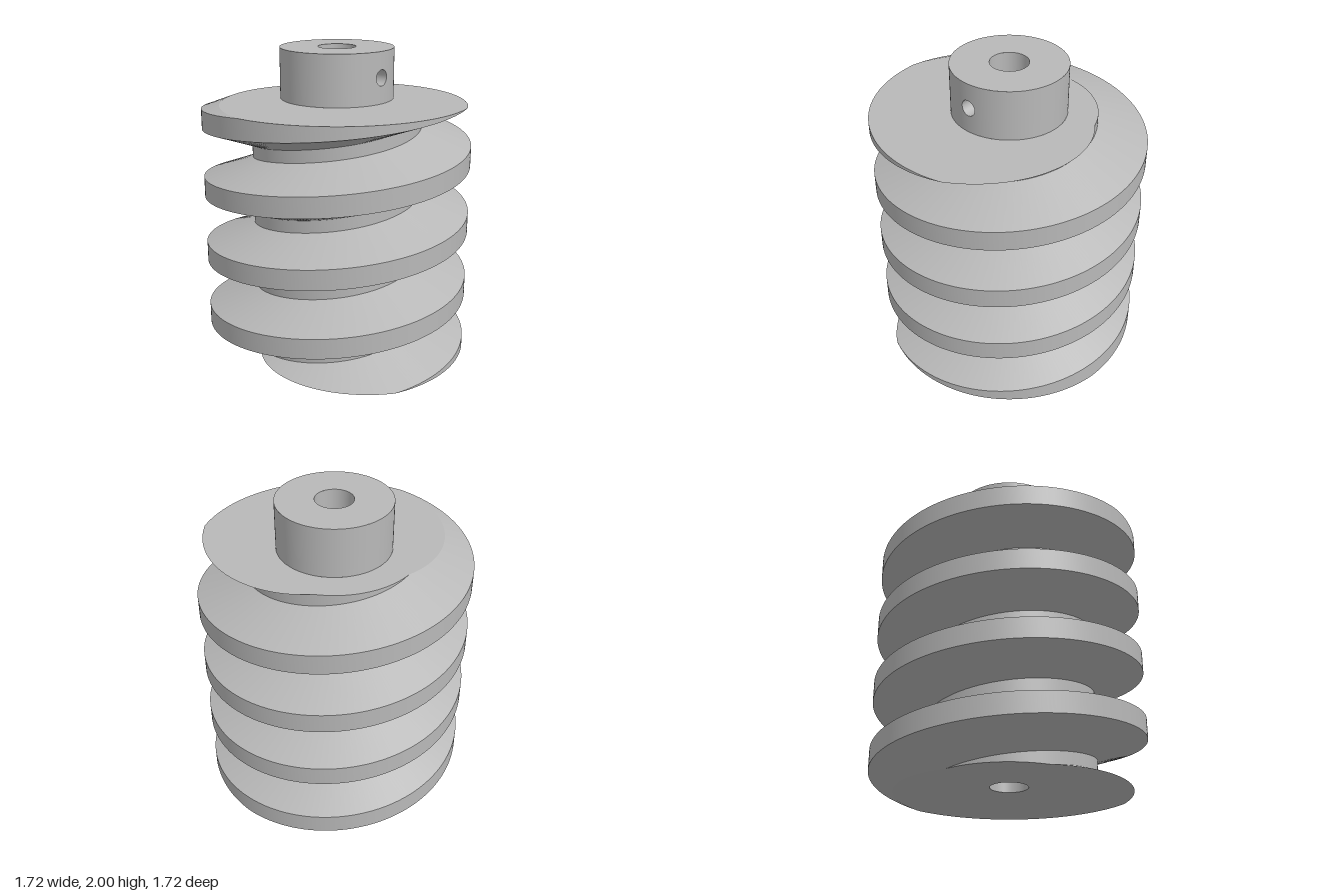
import * as THREE from 'three';
import { toCreasedNormals } from 'three/addons/utils/BufferGeometryUtils.js';
import { ParametricGeometry } from 'three/addons/geometries/ParametricGeometry.js';

const PITCH = 0.44, CREST = 0.86, ROOT = 0.545, H = 1.68, TOP = 2;
const HUB = 0.36, BORE = 0.12, HOLE = 0.05, HOLE_Y = 1.84;
const CREST_HALF = 0.065, FLANK = 0.115;
const TAU = Math.PI * 2;
const clamp = THREE.MathUtils.clamp;

// Radius of the trapezoid tooth at a height offset from a crest centre
function toothRadius(dy) {
  const d = Math.abs(dy - PITCH * Math.round(dy / PITCH));
  return CREST - (CREST - ROOT) * clamp((d - CREST_HALF) / FLANK, 0, 1);
}

// Right-handed worm thread, cut flat at both ends
function threadGeometry(steps = 240) {
  const edge = CREST_HALF + FLANK;
  const offsets = [-edge, -CREST_HALF, CREST_HALF, edge];
  const columns = [];
  for (let i = 0; i <= steps; i++) {
    const t = (i % steps) / steps * TAU;
    const centre = 0.405 - PITCH * i / steps;
    const point = (r, y) => new THREE.Vector3(r * Math.cos(t), y, r * Math.sin(t));
    const column = [point(BORE, 0)];
    for (let k = -2; k <= 5; k++) {
      for (const o of offsets) {
        const y = clamp(centre + k * PITCH + o, 0, H);
        column.push(point(toothRadius(y - centre), y));
      }
    }
    column.push(point(HUB, H));
    columns.push(column);
  }
  const positions = [];
  const triangle = new THREE.Triangle();
  const add = (a, b, c) => {
    if (triangle.set(a, b, c).getArea() < 1e-8) return;
    for (const p of [a, b, c]) positions.push(p.x, p.y, p.z);
  };
  for (let i = 0; i < steps; i++) {
    const p = columns[i], q = columns[i + 1];
    for (let k = 0; k < p.length - 1; k++) {
      add(p[k], p[k + 1], q[k + 1]);
      add(p[k], q[k + 1], q[k]);
    }
  }
  const g = new THREE.BufferGeometry();
  g.setAttribute('position', new THREE.Float32BufferAttribute(positions, 3));
  return toCreasedNormals(g, 0.3);
}

// Cylinder wall, optionally leaving a gap of half-width w around +x
function wall(radius, y0, y1, w, outward) {
  const gap = Math.asin(w / radius);
  return new ParametricGeometry((u, v, p) => {
    const t = gap + (outward ? 1 - u : u) * (TAU - 2 * gap);
    p.set(radius * Math.cos(t), y0 + v * (y1 - y0), radius * Math.sin(t));
  }, 96, 1);
}

// Curved panel filling that gap, pierced by the round screw hole
function piercedPanel(radius, w, outward) {
  const h = (TOP - H) / 2;
  return new ParametricGeometry((u, v, p) => {
    const a = (outward ? u : 1 - u) * TAU;
    const c = Math.cos(a), s = Math.sin(a);
    const z = THREE.MathUtils.lerp(HOLE * c, w * clamp(c * Math.SQRT2, -1, 1), v);
    const y = THREE.MathUtils.lerp(HOLE * s, h * clamp(s * Math.SQRT2, -1, 1), v);
    p.set(Math.sqrt(radius * radius - z * z), HOLE_Y + y, z);
  }, 48, 6);
}

// Radial screw hole from the bore out to the hub surface
function screwHole() {
  return new ParametricGeometry((u, v, p) => {
    const z = HOLE * Math.cos(u * TAU), y = HOLE * Math.sin(u * TAU);
    const inner = Math.sqrt(BORE * BORE - z * z), outer = Math.sqrt(HUB * HUB - z * z);
    p.set(inner + v * (outer - inner), HOLE_Y + y, z);
  }, 48, 1);
}

export function createModel() {
  const model = new THREE.Group();
  model.name = 'wormGear';
  const steel = new THREE.MeshStandardMaterial({ color: 0xb8b8b8 });
  steel.name = 'greySteel';
  const add = (name, geometry) => {
    const mesh = new THREE.Mesh(geometry, steel);
    mesh.name = name;
    model.add(mesh);
    return mesh;
  };

  add('wormThread', threadGeometry());

  // Hub with its screw hole
  add('hubWall', wall(HUB, H, TOP, 0.1, true));
  add('hubHolePanel', piercedPanel(HUB, 0.1, true));
  add('screwHole', screwHole());
  const face = add('hubTopFace', new THREE.RingGeometry(BORE, HUB, 96));
  face.rotation.x = -Math.PI / 2;
  face.position.y = TOP;

  // Through bore
  add('boreLower', wall(BORE, 0, H, 0, false));
  add('boreUpper', wall(BORE, H, TOP, 0.08, false));
  add('boreHolePanel', piercedPanel(BORE, 0.08, false));
  return model;
}
